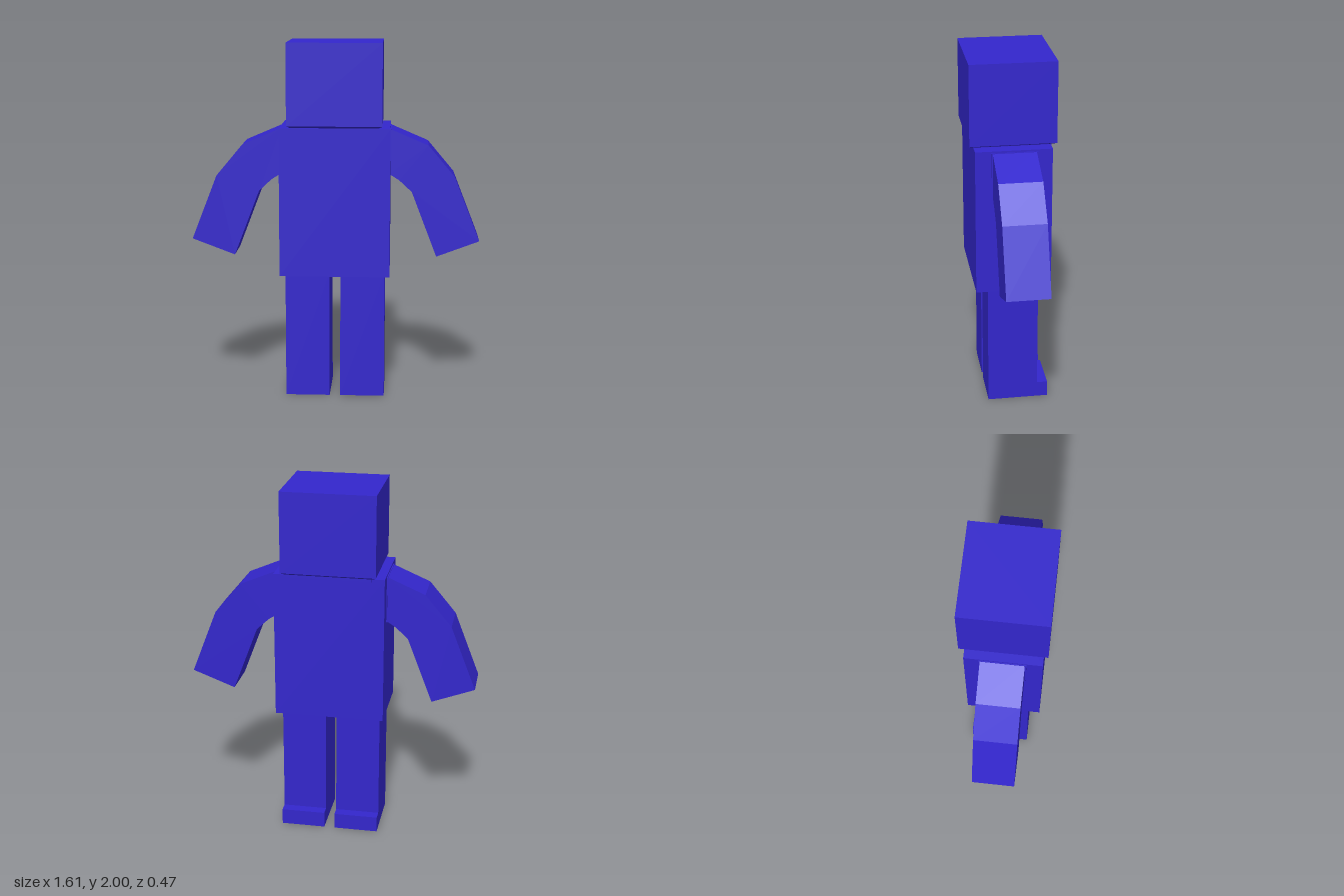
import * as THREE from 'three';

const material = new THREE.MeshStandardMaterial({ color: 0x3326cc, flatShading: true });

function add(parent, name, geometry) {
  const mesh = new THREE.Mesh(geometry, material);
  mesh.name = name;
  parent.add(mesh);
  return mesh;
}

// Box given by its limits on each axis
function block(parent, name, [x0, x1], [y0, y1], [z0, z1]) {
  const mesh = add(parent, name, new THREE.BoxGeometry(x1 - x0, y1 - y0, z1 - z0));
  mesh.position.set((x0 + x1) / 2, (y0 + y1) / 2, (z0 + z1) / 2);
  return mesh;
}

// Side outline of a bent arm, for side = 1 (left) or -1 (right)
function armGeometry(side) {
  const outline = [
    [0.3, 1.527], [0.515, 1.435], [0.662, 1.26], [0.803, 0.9],
    [0.565, 0.81], [0.425, 1.175], [0.355, 1.24], [0.3, 1.275],
  ].map(([x, y]) => new THREE.Vector2(side * x, y));
  const geometry = new THREE.ExtrudeGeometry(new THREE.Shape(outline), { depth: 0.236, bevelEnabled: false });
  return geometry.translate(0, 0, -0.118);
}

export function createModel() {
  const model = new THREE.Group();
  model.name = 'blockFigure';

  // Head with a narrow sloped rim underneath, on a short neck
  block(model, 'head', [-0.261, 0.261], [1.55, 2], [-0.236, 0.236]);
  const rim = new THREE.CylinderGeometry(Math.SQRT1_2, Math.SQRT1_2 * 0.92, 0.011, 4, 1);
  rim.rotateY(Math.PI / 4).scale(0.522, 1, 0.472);
  add(model, 'headRim', rim).position.y = 1.5445;
  block(model, 'neck', [-0.235, 0.235], [1.52, 1.545], [-0.21, 0.205]);

  block(model, 'torso', [-0.305, 0.305], [0.71, 1.535], [-0.205, 0.212]);

  for (const side of [1, -1]) {
    const label = side > 0 ? 'left' : 'right';
    const span = (a, b) => (side > 0 ? [a, b] : [-b, -a]);

    // Arm with a thin flange where it joins the torso
    add(model, label + 'Arm', armGeometry(side));
    block(model, label + 'ShoulderFlange', span(0.3, 0.311), [1.268, 1.525], [-0.126, 0.126]);

    // Leg with a low foot projecting to the back
    block(model, label + 'Leg', span(0.03, 0.278), [0, 0.715], [-0.138, 0.145]);
    block(model, label + 'Foot', span(0.03, 0.278), [0, 0.09], [-0.197, -0.138]);
  }
  return model;
}
